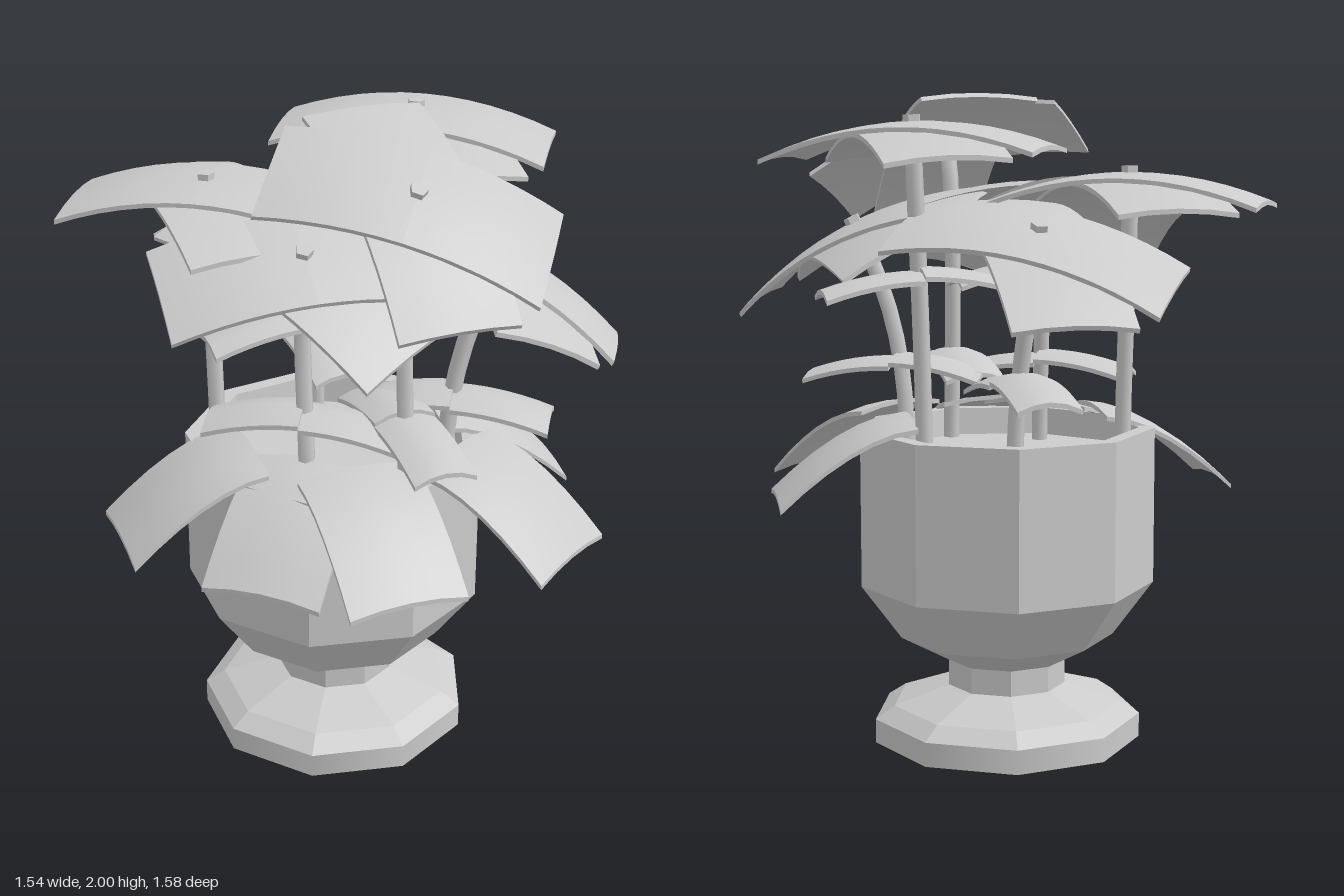
import * as THREE from 'three';

const grey = new THREE.MeshStandardMaterial({ color: 0xcccccc });
const greyFlat = new THREE.MeshStandardMaterial({ color: 0xcccccc, flatShading: true });
const UP = new THREE.Vector3(0, 1, 0);
const rad = THREE.MathUtils.degToRad;

function add(parent, name, geometry, material = grey) {
  const mesh = new THREE.Mesh(geometry, material);
  mesh.name = name;
  parent.add(mesh);
  return mesh;
}

// Thin rectangular leaf growing along +z, arched along and across
function leafGeometry(width, length, droop, cross, power = 2) {
  const g = new THREE.BoxGeometry(width, 0.014, length, 4, 1, 6);
  g.translate(0, 0, length / 2);
  const p = g.attributes.position;
  for (let i = 0; i < p.count; i++) {
    const u = p.getX(i) / (width / 2);
    const v = p.getZ(i) / length;
    p.setY(i, p.getY(i) - droop * v ** power - cross * u * u);
  }
  g.computeVertexNormals();
  return g;
}

const bigLeaf = leafGeometry(0.36, 0.41, 0.08, 0.015);
const smallLeaf = leafGeometry(0.19, 0.29, 0.05, 0.025);
const rimLeaf = leafGeometry(0.36, 0.41, 0.23, 0.02, 1.7);

// Leaves around one point at the given headings; alternate leaves sit slightly higher
function whorl(name, geometry, headings) {
  const g = new THREE.Group();
  g.name = name;
  headings.forEach((heading, i) => {
    const leaf = add(g, 'leaf', geometry);
    leaf.rotation.y = rad(heading);
    leaf.position.y = (i % 2) * 0.012;
  });
  return g;
}

// Stem base [x, z], crown [x, y, z], crown tilt in degrees towards [x, z], crown turn,
// and pairs of small leaves [height, heading]
const PLANTS = [
  { base: [-0.31, -0.13], top: [-0.31, 1.75, -0.18], tilt: 0, to: [0, 1], turn: 0, pairs: [] },
  { base: [0.31, -0.12], top: [0.35, 1.9, -0.16], tilt: 2, to: [1, 0], turn: 0, pairs: [[1.48, 90]] },
  { base: [0.09, 0.41], top: [0.1, 1.86, 0.42], tilt: 30, to: [0, 1], turn: 0, pairs: [[1.18, 0]] },
  { base: [0.27, 0.28], top: [0.42, 1.59, 0.31], tilt: 26, to: [1, 0.15], turn: 0, pairs: [[1.18, 57]] },
  { base: [0.08, -0.29], top: [0.05, 1.6, -0.43], tilt: 22, to: [0, -1], turn: 0, pairs: [[1.18, 0]] },
  { base: [-0.17, 0.28], top: [-0.17, 1.66, 0.26], tilt: 24, to: [-0.2, 1], turn: 27, pairs: [[1.18, 57], [1.48, 90]] },
];

function plant({ base, top, tilt, to, turn, pairs }) {
  const g = new THREE.Group();
  g.name = 'plant';
  const end = new THREE.Vector3(...top);
  const dir = new THREE.Vector3(to[0], 0, to[1]).normalize();
  const normal = UP.clone().multiplyScalar(Math.cos(rad(tilt))).addScaledVector(dir, Math.sin(rad(tilt)));

  // Bent stem, leaving the soil upright and meeting the crown square on
  const start = new THREE.Vector3(base[0], 0.88, base[1]);
  const curve = new THREE.CubicBezierCurve3(
    start,
    start.clone().addScaledVector(UP, 0.3),
    end.clone().addScaledVector(normal, -0.25),
    end
  );
  add(g, 'stem', new THREE.TubeGeometry(curve, 8, 0.026, 6));

  // Crown of two crossed leaf pairs with a small bud in the middle
  const crown = whorl('crown', bigLeaf, [0, 57, 180, 237].map((h) => h + turn));
  crown.position.copy(end);
  crown.quaternion.setFromUnitVectors(UP, normal);
  const bud = add(crown, 'bud', new THREE.CylinderGeometry(0.027, 0.027, 0.05, 5), greyFlat);
  bud.position.y = 0.012;
  g.add(crown);

  // Small opposite leaves lower down the stem
  for (const [y, heading] of pairs) {
    const pair = whorl('stemLeaves', smallLeaf, [heading, heading + 180]);
    const at = curve.getPoint((y - 0.88) / (top[1] - 0.88));
    pair.position.set(at.x, y, at.z);
    g.add(pair);
  }
  return g;
}

export function createModel() {
  const model = new THREE.Group();
  model.name = 'pottedPlant';

  // Nine-sided pot on a round-shaded foot, with the soil closing the inside
  const profile = [
    [0.42, 0.075], [0.36, 0.115], [0.185, 0.17], [0.185, 0.25], [0.335, 0.33],
    [0.46, 0.5], [0.46, 0.985], [0.41, 0.985], [0.4, 0.9], [0, 0.9],
  ].map(([r, y]) => new THREE.Vector2(r, y));
  const pot = add(model, 'pot', new THREE.LatheGeometry(profile, 9, rad(8.7)), greyFlat);
  pot.position.set(0.008, 0, 0.052);
  const foot = add(pot, 'foot', new THREE.CylinderGeometry(0.42, 0.42, 0.075, 9, 1, false, rad(8.7)));
  foot.position.y = 0.0375;

  // Wide leaves hanging over the rim: start x, start z, heading from +z
  const rimLeaves = [
    [-0.055, 0.37, 0], [-0.29, 0.12, -92], [-0.15, 0.28, -43], [0.27, 0.36, 33], [0.32, 0.03, 85],
  ];
  for (const [x, z, heading] of rimLeaves) {
    const leaf = add(model, 'rimLeaf', rimLeaf);
    leaf.position.set(x, 1.03, z);
    leaf.rotation.y = rad(heading);
  }

  for (const spec of PLANTS) model.add(plant(spec));
  return model;
}
